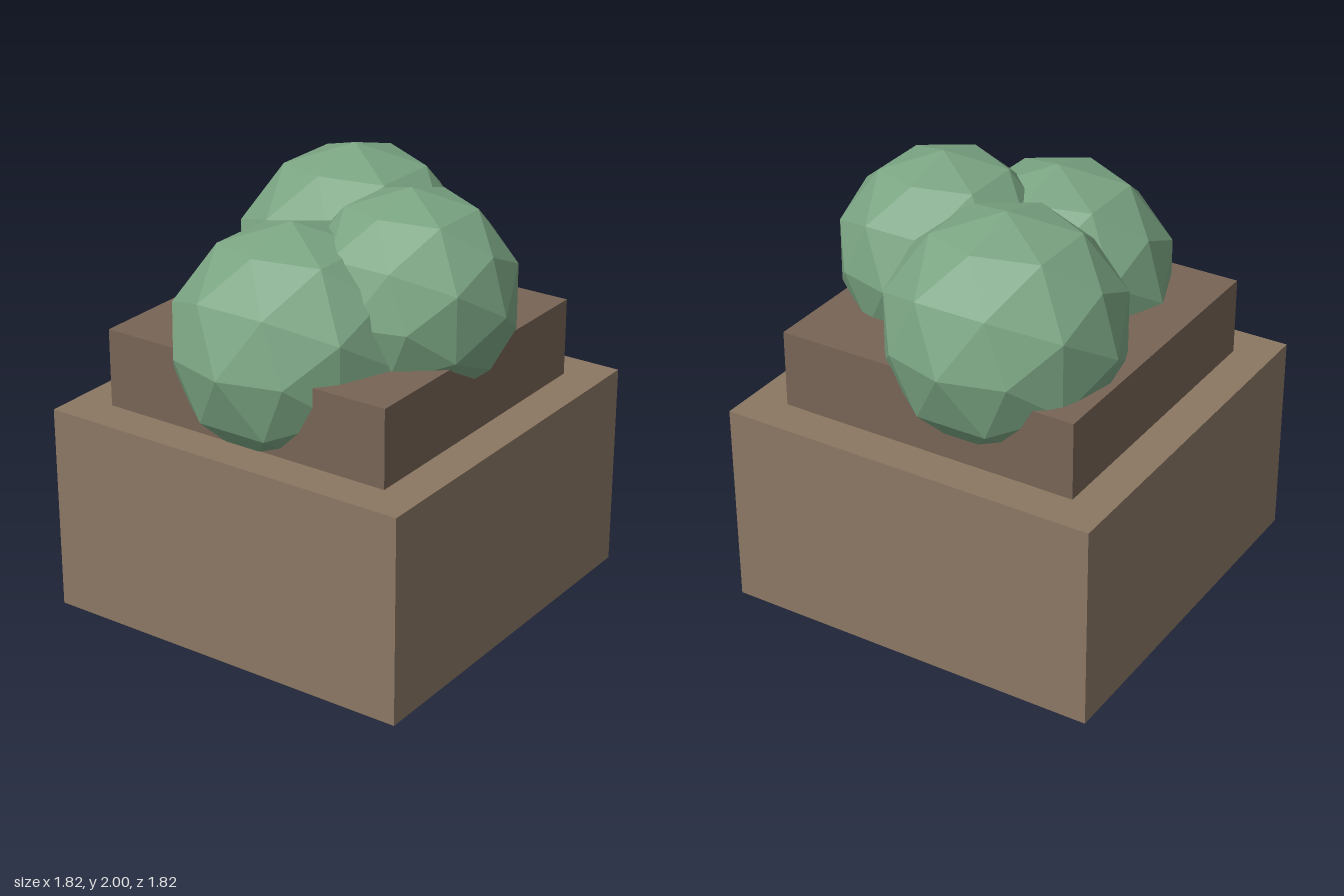
import * as THREE from 'three';

export function createModel() {
  const model = new THREE.Group();
  const material = (color) => new THREE.MeshStandardMaterial({ color, flatShading: true });
  const potMaterial = material(0x8b7763);
  const rimMaterial = material(0x776455);
  const leafMaterial = material(0x7ba583);

  function add(name, geometry, mat, x, y, z) {
    const mesh = new THREE.Mesh(geometry, mat);
    mesh.name = name;
    mesh.position.set(x, y, z);
    model.add(mesh);
  }

  // Square planter: wide base with a narrower block on top
  add('planterBase', new THREE.BoxGeometry(1.818, 0.97, 1.818), potMaterial, 0, 0.485, 0);
  add('planterTop', new THREE.BoxGeometry(1.455, 0.364, 1.455), rimMaterial, 0, 1.152, 0);

  // Three faceted clumps of foliage: name, radius, centre
  const clumps = [
    ['foliageLeft', 0.545, 0.364, 1.455, -0.182],
    ['foliageRight', 0.545, -0.364, 1.333, 0],
    ['foliageFront', 0.485, 0, 1.515, 0.364],
  ];
  for (const [name, radius, x, y, z] of clumps) {
    add(name, new THREE.IcosahedronGeometry(radius, 1), leafMaterial, x, y, z);
  }
  return model;
}
